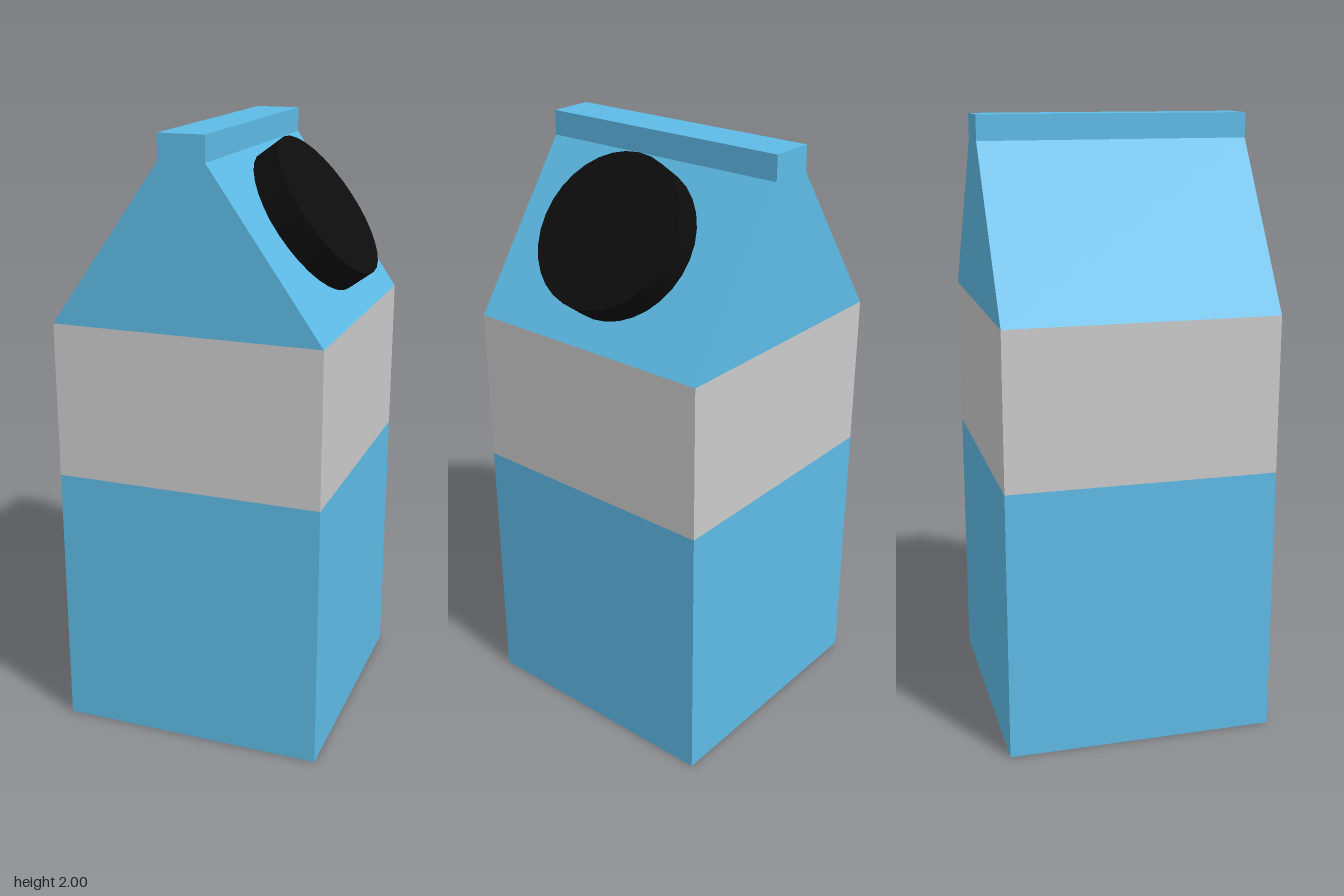
import * as THREE from 'three';

const DEPTH = 0.44; // half depth of the carton
const blue = new THREE.MeshStandardMaterial({ color: 0x5ebbe7 });
const grey = new THREE.MeshStandardMaterial({ color: 0xcccccc });
const black = new THREE.MeshStandardMaterial({ color: 0x0d0d0d });

// Walls through rectangular sections [xMin, xMax, y], listed from bottom to top,
// closed only where asked so that stacked parts leave no hidden faces.
function shell(name, material, sections, { bottom = false, top = false } = {}) {
  const pos = [];
  const rings = sections.map(([x0, x1, y]) => [
    [x0, y, DEPTH], [x1, y, DEPTH], [x1, y, -DEPTH], [x0, y, -DEPTH],
  ]);
  const quad = (a, b, c, d) => pos.push(...a, ...b, ...c, ...a, ...c, ...d);
  for (let i = 0; i < rings.length - 1; i++) {
    const lo = rings[i], hi = rings[i + 1];
    for (let k = 0; k < 4; k++) {
      const n = (k + 1) % 4;
      quad(lo[k], lo[n], hi[n], hi[k]);
    }
  }
  if (bottom) quad(...[...rings[0]].reverse());
  if (top) quad(...rings[rings.length - 1]);
  const geometry = new THREE.BufferGeometry();
  geometry.setAttribute('position', new THREE.Float32BufferAttribute(pos, 3));
  geometry.computeVertexNormals();
  const mesh = new THREE.Mesh(geometry, material);
  mesh.name = name;
  return mesh;
}

export function createModel() {
  const carton = new THREE.Group();
  carton.name = 'carton';
  const L = -0.457, R = 0.425; // sides of the body
  const l = -0.09, r = 0.059; // sides of the sealed ridge

  carton.add(
    shell('lowerBody', blue, [[L, R, 0], [L, R, 0.89]], { bottom: true }),
    shell('labelBand', grey, [[L, R, 0.89], [L, R, 1.4]]),
    shell('gableTop', blue, [[L, R, 1.4], [l, r, 1.92]]),
    shell('ridge', blue, [[l, r, 1.92], [l, r, 2]], { top: true }),
  );

  // Round screw cap lying on the sloped panel
  const cap = new THREE.Mesh(new THREE.CylinderGeometry(0.255, 0.255, 0.1, 32), black);
  cap.name = 'cap';
  cap.position.set(0.264, 1.718, 0);
  cap.rotation.z = -THREE.MathUtils.degToRad(53.6);
  carton.add(cap);

  return carton;
}
